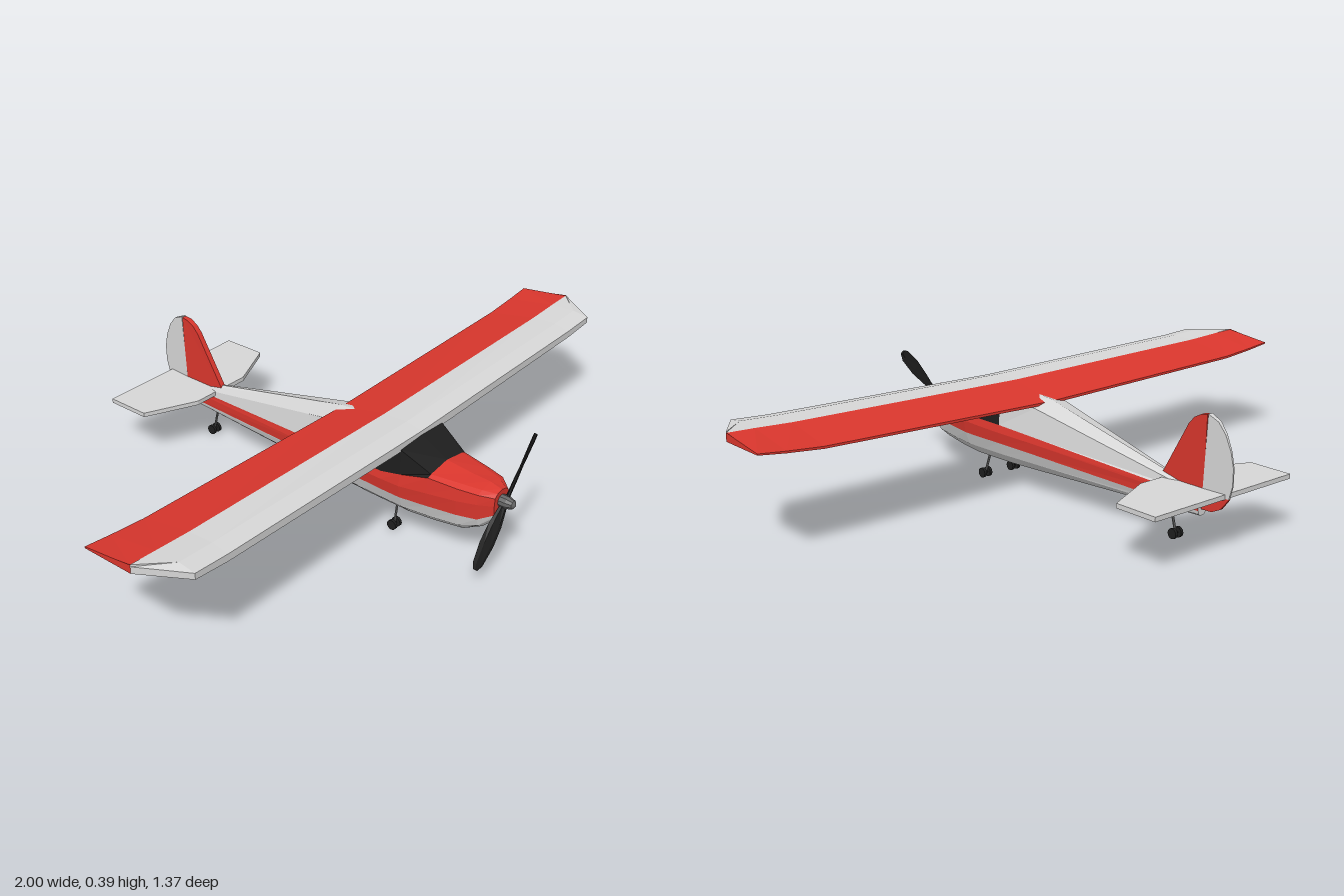
import * as THREE from 'three';

const mat = (name, color) => {
  const m = new THREE.MeshStandardMaterial({ color });
  m.name = name;
  m.flatShading = true;
  return m;
};

export function createModel() {
  const red = mat('red', 0xd9362d);
  const white = mat('white', 0xd6d6d6);
  const black = mat('black', 0x1e1e1e);
  const grey = mat('grey', 0x666666);
  const plane = new THREE.Group();
  plane.name = 'airplane';

  const add = (name, geo, material, parent = plane) => {
    const m = new THREE.Mesh(geo, material);
    m.name = name;
    parent.add(m);
    return m;
  };

  // Skin between closed rings; pick(i, j) gives the colour of each panel
  const loft = (name, rings, pick, capA, capB, parent = plane) => {
    const buckets = new Map();
    const tri = (m, ...pts) => {
      if (!buckets.has(m)) buckets.set(m, []);
      pts.forEach((p) => buckets.get(m).push(...p));
    };
    const n = rings[0].length, last = rings[rings.length - 1];
    for (let i = 0; i < rings.length - 1; i++) {
      for (let j = 0; j < n; j++) {
        const k = (j + 1) % n, m = pick(i, j);
        const a = rings[i][j], b = rings[i][k], c = rings[i + 1][k], d = rings[i + 1][j];
        tri(m, a, d, c);
        tri(m, a, c, b);
      }
    }
    for (let j = 1; j < n - 1; j++) {
      tri(capA, rings[0][0], rings[0][j], rings[0][j + 1]);
      tri(capB, last[0], last[j + 1], last[j]);
    }
    const group = new THREE.Group();
    group.name = name;
    parent.add(group);
    buckets.forEach((pos, m) => {
      const g = new THREE.BufferGeometry();
      g.setAttribute('position', new THREE.Float32BufferAttribute(pos, 3));
      g.computeVertexNormals();
      add(name + ' ' + m.name, g, m, group);
    });
    return group;
  };

  // Fuselage: z, half width, top width ratio, then heights from keel to crown
  const stations = [
    [0.638, 0.035, 0.60, 0.150, 0.160, 0.170, 0.200, 0.225, 0.235, 0.240],
    [0.600, 0.065, 0.65, 0.115, 0.130, 0.155, 0.205, 0.235, 0.243, 0.250],
    [0.540, 0.080, 0.70, 0.085, 0.112, 0.152, 0.200, 0.238, 0.246, 0.253],
    [0.450, 0.095, 0.80, 0.075, 0.108, 0.150, 0.195, 0.244, 0.250, 0.262],
    [0.360, 0.107, 0.93, 0.070, 0.107, 0.148, 0.188, 0.225, 0.305, 0.310],
    [0.290, 0.103, 0.92, 0.070, 0.106, 0.146, 0.184, 0.207, 0.303, 0.311],
    [0.200, 0.097, 0.88, 0.070, 0.105, 0.145, 0.180, 0.204, 0.300, 0.312],
    [0.060, 0.082, 0.78, 0.074, 0.104, 0.139, 0.174, 0.194, 0.281, 0.300],
    [-0.575, 0.016, 0.60, 0.095, 0.100, 0.110, 0.138, 0.148, 0.155, 0.162],
  ];
  const hull = stations.map(([z, w, k, yb, y1, y2, y3, y4, y5, y6]) => {
    const half = [[0.42, yb], [0.8, y1], [0.95, y2], [1, y3], [0.95, y4], [k, y5]];
    return [
      ...half.map(([f, y]) => [f * w, y, z]),
      [0, y6, z],
      ...half.reverse().map(([f, y]) => [-f * w, y, z]),
    ];
  });
  loft('fuselage', hull, (i, j) => {
    const p = j < 6 ? j : 11 - j; // mirrored panel number
    if (p < 2) return white;
    if (p < 4) return red;
    return i < 3 ? red : i < 6 ? black : white;
  }, red, white);

  // Wing: x, underside height, thickness, leading edge z
  const split = 0.225, trail = 0.06;
  const half = [[1, 0.325, 0.027, 0.226], [0.915, 0.314, 0.036, 0.36], [0.8, 0.303, 0.042, 0.36]];
  const wingStations = [
    ...half,
    [0, 0.284, 0.05, 0.36],
    ...half.slice().reverse().map(([x, ...r]) => [-x, ...r]),
  ];
  const wing = wingStations.map(([x, b, t, lead]) => {
    const mid = split + (lead - split) * 0.6;
    return [
      [x, b, trail],
      [x, b + t * 0.17, trail],
      [x, b + t * 0.92, split],
      [x, b + t, mid],
      [x, b + t * 0.78, lead],
      [x, b + t * 0.25, lead],
      [x, b, mid],
      [x, b, split],
    ];
  });
  loft('wing', wing, (i, j) => (j < 2 || j === 7 ? red : white), red, red);

  // Tail surfaces cut from flat outlines
  const plate = (shape, t) =>
    new THREE.ExtrudeGeometry(shape, { depth: t, bevelEnabled: false, curveSegments: 6 }).translate(0, 0, -t / 2);
  const outline = (pts) => new THREE.Shape(pts.map(([x, y]) => new THREE.Vector2(x, y)));

  const stab = plate(outline([
    [-0.27, 0.66], [-0.27, 0.515], [-0.105, 0.44], [0.105, 0.44], [0.27, 0.515], [0.27, 0.66],
  ]), 0.014);
  add('tailplane', stab.rotateX(-Math.PI / 2).translate(0, 0.17, 0), white);

  // Upright plates thin out towards their rear edge
  const upright = (name, pts, material) => {
    const g = plate(outline(pts), 0.018).rotateY(Math.PI / 2);
    const p = g.attributes.position;
    for (let i = 0; i < p.count; i++) {
      p.setX(i, p.getX(i) * THREE.MathUtils.mapLinear(Math.max(-p.getZ(i), 0.58), 0.58, 0.69, 1, 0.2));
    }
    g.computeVertexNormals();
    add(name, g, material);
  };
  upright('fin', [
    [0.425, 0.18], [0.585, 0.15], [0.592, 0.388], [0.57, 0.385], [0.545, 0.372], [0.525, 0.35],
  ], red);
  upright('rudder', [
    [0.582, 0.163], [0.672, 0.163], [0.684, 0.205], [0.685, 0.255], [0.675, 0.3],
    [0.655, 0.345], [0.63, 0.375], [0.595, 0.39],
  ], white);
  upright('lowerRudder', [
    [0.58, 0.116], [0.615, 0.116], [0.645, 0.13], [0.674, 0.165], [0.58, 0.165],
  ], red);

  // Propeller: twisted blades around a small spinner
  const prop = new THREE.Group();
  prop.name = 'propeller';
  prop.position.set(0, 0.205, 0.652);
  prop.rotation.z = -0.7;
  plane.add(prop);
  const blade = [[0.207, 0.02, 0.25], [0.19, 0.042, 0.3], [0.13, 0.054, 0.4], [0.07, 0.044, 0.55], [0.01, 0.02, 0.8]]
    .map(([r, c, twist]) => [0, 1, 2, 3, 4, 5].map((k) => {
      const a = (k * Math.PI) / 3;
      const x = (Math.cos(a) * c) / 2, z = -Math.sin(a) * 0.005;
      return [x * Math.cos(twist) + z * Math.sin(twist), r, z * Math.cos(twist) - x * Math.sin(twist)];
    }));
  for (const s of [0, 1]) {
    loft('blade', blade, () => black, black, black, prop).rotation.z = s * Math.PI;
  }
  const spinner = new THREE.LatheGeometry(
    [[0, -0.022], [0.019, -0.022], [0.019, 0.008], [0.013, 0.026], [0, 0.034]].map(([x, y]) => new THREE.Vector2(x, y)), 10);
  add('spinner', spinner.rotateX(Math.PI / 2), grey, prop);

  // Landing gear: a strut, an axle and twin wheels
  const gear = (name, x, z, topX, topY, topZ) => {
    const g = new THREE.Group();
    g.name = name;
    plane.add(g);
    const foot = new THREE.Vector3(x, 0.016, z), top = new THREE.Vector3(topX, topY, topZ);
    const dir = top.clone().sub(foot);
    const strut = add('strut', new THREE.CylinderGeometry(0.004, 0.004, dir.length(), 6), grey, g);
    strut.position.copy(foot).addScaledVector(dir, 0.5);
    strut.quaternion.setFromUnitVectors(new THREE.Vector3(0, 1, 0), dir.normalize());
    const axle = add('axle', new THREE.CylinderGeometry(0.004, 0.004, 0.024, 6).rotateZ(Math.PI / 2), black, g);
    axle.position.copy(foot);
    for (const s of [-1, 1]) {
      const wheel = add('wheel', new THREE.CylinderGeometry(0.016, 0.016, 0.009, 12).rotateZ(Math.PI / 2), black, g);
      wheel.position.set(x + s * 0.011, 0.016, z);
    }
  };
  gear('leftGear', 0.058, 0.315, 0.036, 0.09, 0.31);
  gear('rightGear', -0.058, 0.315, -0.036, 0.09, 0.31);
  gear('tailGear', 0, -0.477, 0, 0.1, -0.455);

  return plane;
}
